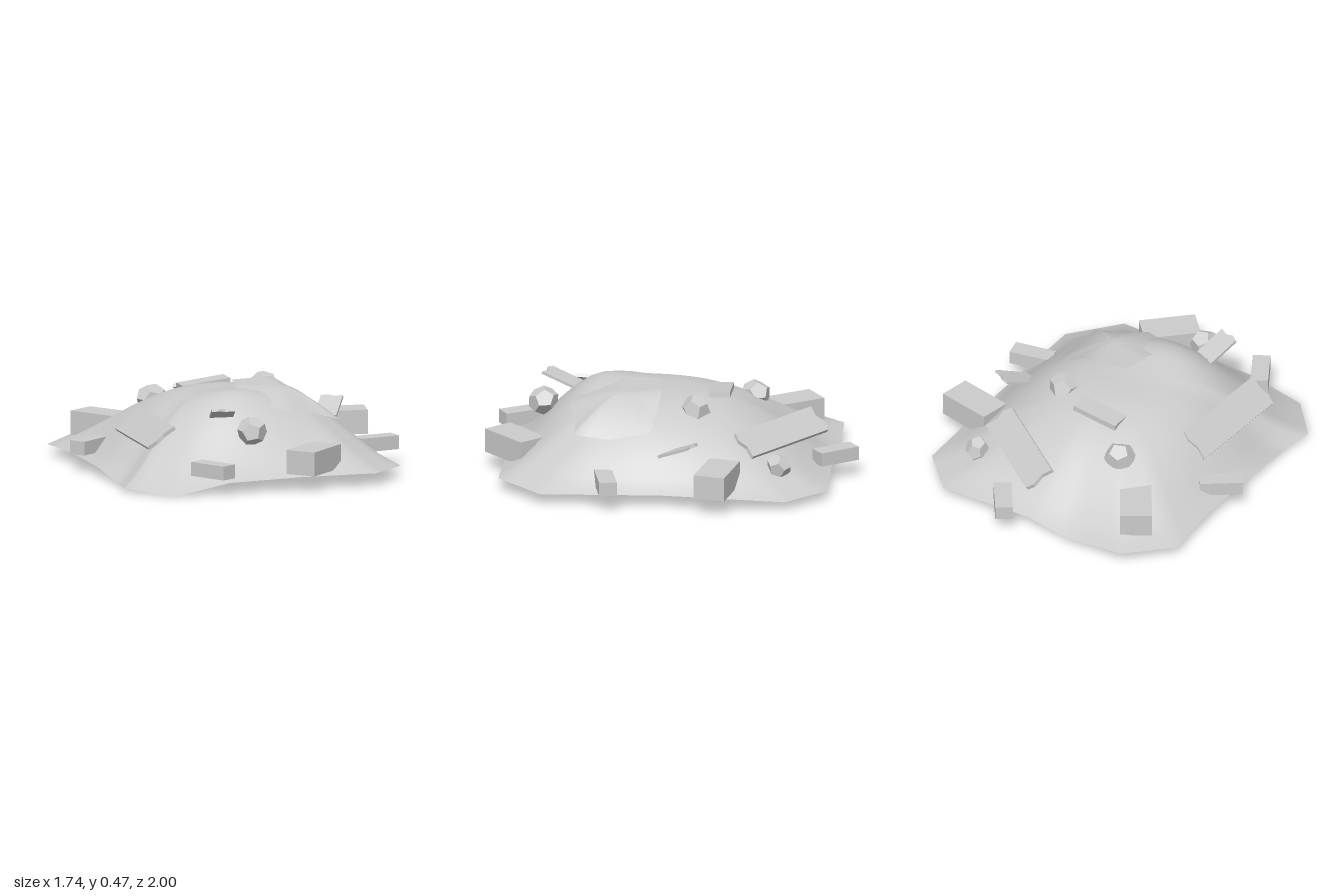
import * as THREE from 'three';

const grey = new THREE.MeshStandardMaterial({ color: 0xcccccc, side: THREE.DoubleSide });
const faceted = new THREE.MeshStandardMaterial({ color: 0xcccccc, flatShading: true });
const points = list => list.map(p => new THREE.Vector3(...p));

// Mound rim: x, y, z around the chamfered outline
const rim = points([
  [-0.61, 0, 0.87], [-0.81, 0.02, 0.64], [-0.78, 0.01, 0.44], [-0.79, 0.05, 0.15],
  [-0.79, 0.06, -0.3], [-0.81, 0.05, -0.65], [-0.6, 0.06, -0.87], [-0.26, 0.03, -0.875],
  [0, 0.06, -0.86], [0.53, 0.05, -0.87], [0.74, 0.05, -0.66], [0.74, 0.07, 0],
  [0.74, 0.06, 0.65], [0.52, 0.07, 0.89], [0.1, 0.07, 0.88], [-0.3, 0.06, 0.875],
]);
const PEAK = 0.43;

// Subdivide a closed loop of points
function subdivide(loop, n) {
  return loop.flatMap((a, i) => Array.from({ length: n }, (_, k) =>
    a.clone().lerp(loop[(i + 1) % loop.length], k / n)));
}

// Contours run from an ellipse at the crown to the rim outline
function radius(t, c, s, outer) {
  const inner = 1 / Math.hypot(c / 0.77, s / 0.87);
  return t * THREE.MathUtils.lerp(inner, outer, t ** 2.5);
}

// Bell profile plus a swelling toward the front
function rise(t, c, s, edge, r) {
  const bell = Math.pow(1 - Math.pow(t, 2.9 - 0.2 * c + 0.5 * s), 1.4);
  const swell = 0.07 * Math.exp(-(((c * r + 0.15) / 0.32) ** 2) - ((s * r - 0.42) / 0.22) ** 2);
  return edge + (PEAK - edge) * bell + swell * (1 - t ** 6);
}

// Surface of concentric rings round a middle point; place(loopPoint, t) gives a vertex
function ringSurface(loop, rings, place) {
  const pos = [], idx = [], n = loop.length;
  pos.push(...place(loop[0], 0).toArray());
  for (let r = 1; r <= rings; r++) loop.forEach(p => pos.push(...place(p, r / rings).toArray()));
  for (let i = 0; i < n; i++) {
    const j = (i + 1) % n;
    idx.push(0, 1 + i, 1 + j);
    for (let r = 1; r < rings; r++) {
      const a = 1 + (r - 1) * n, b = a + n;
      idx.push(a + i, b + i, a + j, a + j, b + i, b + j);
    }
  }
  const g = new THREE.BufferGeometry();
  g.setAttribute('position', new THREE.Float32BufferAttribute(pos, 3));
  // Turn faces upward whichever way the loop runs
  const [a, b] = [loop[0], loop[1]], m = place(loop[0], 0);
  const up = (b.x - m.x) * (a.z - m.z) > (b.z - m.z) * (a.x - m.x);
  g.setIndex(up ? idx : idx.reverse());
  g.computeVertexNormals();
  return g;
}

export function createModel() {
  const model = new THREE.Group();
  const add = (name, geometry, material) => {
    const mesh = new THREE.Mesh(geometry, material);
    mesh.name = name;
    model.add(mesh);
    return mesh;
  };

  // Open-bottomed mound
  add('mound', ringSurface(subdivide(rim, 4), 18, (p, t) => {
    const d = Math.hypot(p.x, p.z), c = p.x / d, s = p.z / d;
    const r = radius(t, c, s, d);
    return new THREE.Vector3(c * r, rise(t, c, s, p.y, r), s * r);
  }), grey);

  // Stiff sheet bent over the crown
  const sheet = points([[-0.02, 0.475, 0.08], [0.22, 0.475, 0.04], [0.45, 0.325, 0.08],
    [0.47, 0.285, 0.3], [0.45, 0.3, 0.49], [0.33, 0.335, 0.49], [0.14, 0.375, 0.54],
    [-0.11, 0.415, 0.45], [-0.05, 0.47, 0.25]]);
  const middle = new THREE.Vector3(0.19, 0.465, 0.26);
  add('drapedSheet', ringSurface(subdivide(sheet, 3), 6, (p, t) => {
    const v = middle.clone().lerp(p, t);
    v.y = THREE.MathUtils.lerp(middle.y, p.y, t ** 1.5);
    return v;
  }), grey);

  // Bricks lying level round the foot: name, x, z, turn
  const bricks = (list, y, size) => list.forEach(([name, x, z, turn]) => {
    const brick = add(name, new THREE.BoxGeometry(...size), faceted);
    brick.position.set(x, y, z);
    brick.rotation.y = turn;
  });
  bricks([
    ['frontBlock', 0.19, 0.825, 0.76],
    ['leftBlock', 0.705, -0.295, -0.2],
    ['backBlock', -0.515, -0.595, -0.99],
  ], 0.155, [0.305, 0.13, 0.17]);
  bricks([
    ['frontBrick', -0.38, 0.835, -1.05],
    ['backBrick', 0.14, -0.885, -0.95],
    ['leftBrick', 0.72, 0.3, 0.2],
    ['rightBrick', -0.75, -0.126, 0.63],
  ], 0.128, [0.23, 0.075, 0.095]);

  // Boards with broken ends: centre, direction of length and of width, then size
  function board(name, centre, along, across, [length, width, thick], jag) {
    const l = length / 2, w = width / 2, j = jag;
    const shape = new THREE.Shape([
      [-l, -w], [l - j, -w], [l, -w * 0.4], [l - j, w * 0.2], [l, w],
      [-l + j, w], [-l, w * 0.5], [-l + j, -w * 0.3],
    ].map(p => new THREE.Vector2(...p)));
    const g = new THREE.ExtrudeGeometry(shape, { depth: thick, bevelEnabled: false });
    g.translate(0, 0, -thick / 2);
    const X = new THREE.Vector3(...along).normalize();
    const Z = X.clone().cross(new THREE.Vector3(...across)).normalize();
    const mesh = add(name, g, faceted);
    mesh.quaternion.setFromRotationMatrix(new THREE.Matrix4().makeBasis(X, Z.clone().cross(X), Z));
    mesh.position.set(...centre);
  }
  board('rightPlank', [-0.56, 0.265, 0.24], [-0.03, 0, 0.64], [0.14, 0.105, 0], [0.64, 0.18, 0.02], 0.015);
  board('backPlank', [0.22, 0.268, -0.6], [0.5, 0, 0.37], [0.09, -0.095, -0.11], [0.63, 0.17, 0.02], 0.02);
  board('frontSplinter', [-0.25, 0.39, 0.605], [-0.05, 0.07, 0.19], [0.12, 0, 0.03], [0.21, 0.125, 0.015], 0.015);
  board('leftSplinter', [0.58, 0.272, -0.075], [0.09, 0.075, -0.155], [0.08, -0.01, 0.07], [0.21, 0.12, 0.015], 0.01);
  board('topTile', [-0.065, 0.405, -0.255], [1, 0.12, 0], [0, 0, 1], [0.27, 0.115, 0.03], 0.003);

  // Loose stones: centre, radius
  [[-0.3, 0.31, -0.42, 0.086], [0.235, 0.39, -0.145, 0.086],
    [-0.115, 0.305, 0.7, 0.085], [0.485, 0.17, -0.61, 0.07]].forEach(([x, y, z, r], i) => {
    const stone = add('stone' + (i + 1), new THREE.DodecahedronGeometry(r), faceted);
    stone.position.set(x, y, z);
    stone.rotation.set(i * 1.3, i * 0.8 + 0.4, i * 0.5);
    stone.scale.set(1, 0.9, 0.95);
  });

  return model;
}
